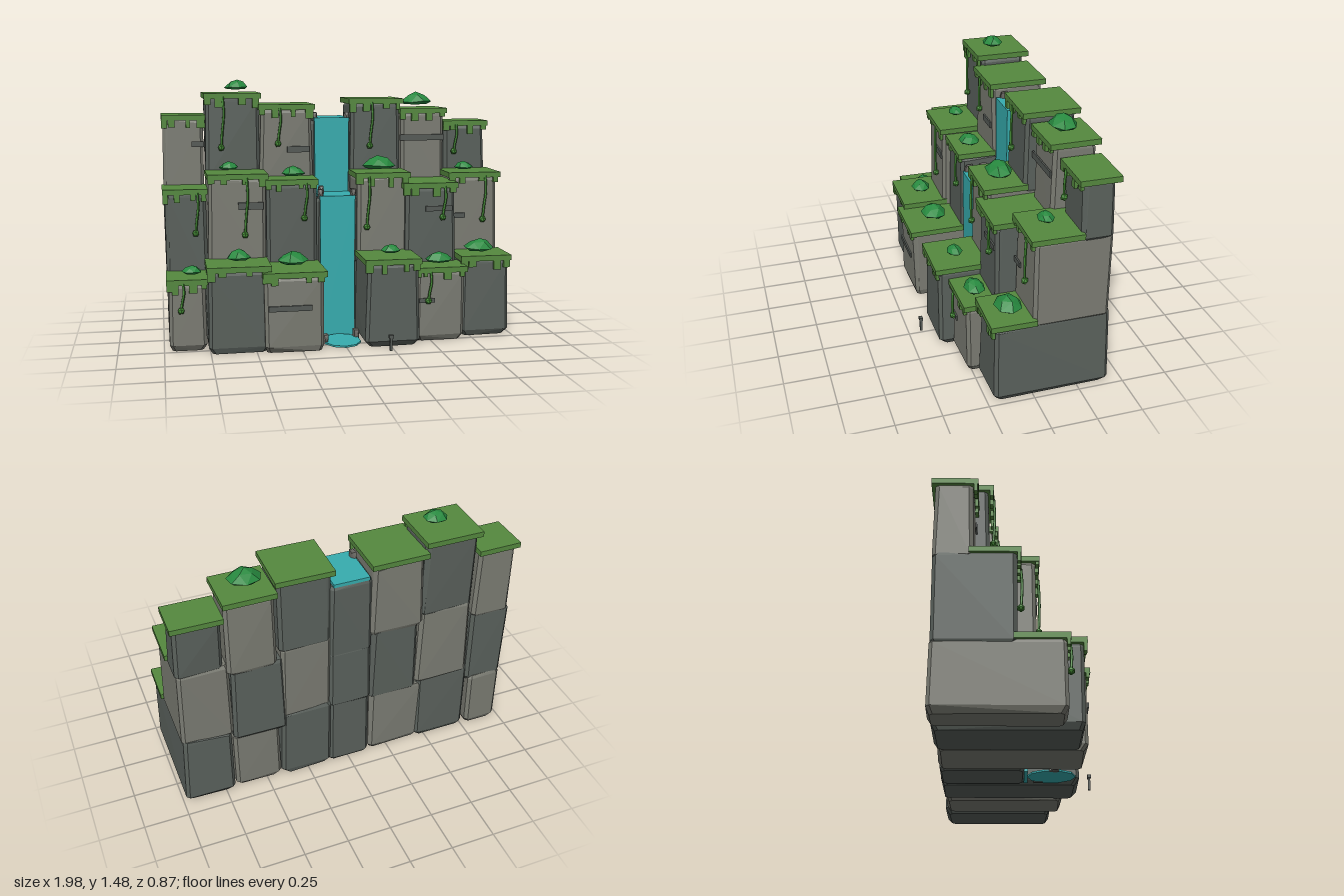
import * as THREE from 'three';
import { ConvexGeometry } from 'three/addons/geometries/ConvexGeometry.js';

const mat = (name, color, extra = {}) => {
  const m = new THREE.MeshStandardMaterial({ color, flatShading: true, ...extra });
  m.name = name;
  return m;
};

export function createModel() {
  const model = new THREE.Group();
  model.name = 'cliff';
  const darkRock = mat('dark rock', 0x5a615c);
  const lightRock = mat('light rock', 0x7b7c73);
  const crackGrey = mat('crack grey', 0x555a56);
  const grass = mat('grass', 0x55893f);
  const vineGreen = mat('vine green', 0x438a34);
  const bushGreen = mat('bush green', 0x27893f);
  const water = mat('water', 0x37adaf);
  const pebble = mat('pebble', 0x66645f);

  // small seeded noise
  let seed = 7;
  const rnd = () => ((seed = (seed * 16807) % 2147483647) / 2147483647);
  const jit = (a) => (rnd() - 0.5) * 2 * a;

  const add = (name, geo, material, x = 0, y = 0, z = 0, parent = model) => {
    const m = new THREE.Mesh(geo, material);
    m.name = name;
    m.position.set(x, y, z);
    parent.add(m);
    return m;
  };
  const box = (name, material, x, y, z, w, h, d, parent = model) =>
    add(name, new THREE.BoxGeometry(w, h, d), material, x, y, z, parent);

  // chipped boulder: rings of chamfered rectangles wrapped in a hull
  function rock(name, material, x0, x1, y0, y1, z0, z1, low = 0.04, wob = 0.006, parent = model) {
    const pts = [];
    const rings = [[y0, low * 0.6], [y0 + low, 0], [y1 - 0.02, 0.004], [y1, 0.01]];
    const cx = (x0 + x1) / 2, cz = (z0 + z1) / 2, c = 0.018;
    for (const [y, inset] of rings) {
      const hx = (x1 - x0) / 2 - inset, hz = (z1 - z0) / 2 - inset;
      for (const sx of [-1, 1]) for (const sz of [-1, 1]) {
        const jx = jit(wob), jz = jit(wob);
        pts.push(new THREE.Vector3(cx + sx * (hx - c) + jx, y, cz + sz * hz + jz));
        pts.push(new THREE.Vector3(cx + sx * hx + jx, y, cz + sz * (hz - c) + jz));
      }
    }
    return add(name, new ConvexGeometry(pts), material, 0, 0, 0, parent);
  }

  // columns per tier: left x, right x, top of the grass, front z
  const tiers = [
    [[-0.98, -0.76, 0.405, 0.265], [-0.765, -0.42, 0.485, 0.36], [-0.47, -0.12, 0.45, 0.39],
      [0.10, 0.415, 0.5, 0.375], [0.405, 0.7, 0.43, 0.3], [0.69, 0.985, 0.475, 0.235]],
    [[-0.99, -0.74, 0.87, 0.03], [-0.745, -0.41, 0.96, 0.125], [-0.42, -0.12, 0.92, 0.09],
      [0.10, 0.415, 0.95, 0.1], [0.37, 0.69, 0.89, 0.135], [0.67, 0.98, 0.935, 0.03]],
    [[-0.985, -0.74, 1.275, -0.19], [-0.745, -0.42, 1.4, -0.115], [-0.435, -0.11, 1.335, -0.095],
      [0.10, 0.42, 1.365, -0.11], [0.415, 0.7, 1.305, -0.155], [0.7, 0.975, 1.225, -0.21]],
  ];
  tiers.forEach((cols, t) => cols.forEach(([x0, x1, top, front], i) => {
    const column = new THREE.Group();
    column.name = `column${t}${i}`;
    model.add(column);
    const bottom = t ? tiers[t - 1][i][2] - 0.07 : 0;
    rock('boulder', (t + i) % 2 ? darkRock : lightRock, x0 + 0.008, x1 - 0.008, bottom, top - 0.03,
      -0.41 + jit(0.008), front - 0.02, 0.035, 0.007, column);
    // grass slab with a hanging fringe
    const back = t < 2 ? tiers[t + 1][i][3] - 0.04 : -0.43;
    const w = x1 - x0 + 0.004;
    const slab = box('grassSlab', grass, (x0 + x1) / 2, top - 0.0155, (front + back) / 2, w, 0.031, front - back, column);
    slab.rotation.y = jit(0.015);
    for (const f of [0.06, 0.18 + rnd() * 0.15, 0.6 + rnd() * 0.12, 0.9]) {
      const h = 0.02 + rnd() * 0.035;
      box('grassFringe', grass, x0 + w * f, top - 0.03 - h / 2, front - 0.012, 0.022 + rnd() * 0.025, h, 0.018, column);
    }
  }));

  // rock core behind the waterfall
  rock('lowerCore', darkRock, -0.13, 0.12, 0, 0.46, -0.405, 0.055, 0.02, 0.003);
  rock('middleCore', darkRock, -0.13, 0.12, 0.42, 0.805, -0.41, 0.055, 0.02, 0.003);
  rock('upperCore', darkRock, -0.13, 0.12, 0.77, 1.238, -0.405, -0.15, 0.02, 0.003);

  // waterfall in two steps, and its pool
  box('upperStream', water, -0.005, 1.245, -0.265, 0.205, 0.02, 0.27);
  box('upperFall', water, -0.005, 1.03, -0.14, 0.2, 0.44, 0.02);
  box('lowerStream', water, -0.005, 0.81, -0.035, 0.205, 0.02, 0.21);
  box('lowerFall', water, -0.005, 0.405, 0.06, 0.2, 0.81, 0.02);
  const pool = add('pool', new THREE.CylinderGeometry(1, 1, 0.01, 10), water, -0.005, 0.006, 0.2);
  pool.scale.set(0.108, 1, 0.132);

  // stones along the water
  [[-0.1, 1.26, -0.18], [0.09, 1.26, -0.18], [-0.1, 0.83, 0.03], [0.09, 0.83, 0.03],
    [-0.1, 0.025, 0.21], [0.09, 0.025, 0.13], [-0.085, 0.84, -0.045]].forEach(([x, y, z]) => {
    rock('bankStone', pebble, x - 0.016, x + 0.016, y - 0.025, y + 0.025, z - 0.03, z + 0.03, 0.012, 0.004);
  });

  // little post standing in front
  box('post', crackGrey, 0.23, 0.04, 0.425, 0.014, 0.08, 0.013);
  box('postTop', crackGrey, 0.23, 0.08, 0.425, 0.026, 0.018, 0.02);

  // cracks on the rock fronts: tier, column, x, y, width, height
  [[2, 0, -0.78, 1.105, 0.07, 0.03], [2, 2, -0.205, 1.075, 0.13, 0.035], [2, 4, 0.55, 1.13, 0.27, 0.035],
    [1, 1, -0.505, 0.78, 0.14, 0.04], [1, 4, 0.58, 0.74, 0.16, 0.03], [1, 5, 0.73, 0.68, 0.08, 0.03],
    [0, 2, -0.32, 0.25, 0.24, 0.03], [0, 4, 0.47, 0.24, 0.09, 0.025]].forEach(([t, i, x, y, w, h]) => {
    box('crack', crackGrey, x, y, tiers[t][i][3] - 0.013, w, h, 0.009);
  });

  // vines with a bud at the tip: tier, column, x, tip y
  [[2, 1, -0.65, 1.09], [2, 2, -0.325, 1.11], [2, 3, 0.22, 1.09], [2, 5, 0.765, 1.04],
    [1, 0, -0.81, 0.62], [1, 1, -0.54, 0.62], [1, 2, -0.2, 0.7], [1, 3, 0.16, 0.64],
    [1, 4, 0.6, 0.69], [1, 5, 0.875, 0.655], [0, 0, -0.905, 0.235], [0, 4, 0.475, 0.24]].forEach(([t, i, x, tip]) => {
    const top = tiers[t][i][2] - 0.02, z = tiers[t][i][3] - 0.002;
    const path = new THREE.CatmullRomCurve3([0, 0.35, 0.7, 1].map((f, k) =>
      new THREE.Vector3(x + [0.012, 0.016, 0.006, 0][k], top + (tip - top) * f, z + [0, 0.006, 0.004, 0][k])));
    add('vine', new THREE.TubeGeometry(path, 8, 0.008, 5), vineGreen);
    add('vineBud', new THREE.IcosahedronGeometry(0.021, 0), vineGreen, x, tip, z);
  });

  // faceted domed bushes: x, base y, z, half width, height, half depth
  [[-0.55, 1.42, -0.245, 0.07, 0.055, 0.06], [0.54, 1.325, -0.28, 0.095, 0.075, 0.075],
    [-0.615, 0.975, -0.03, 0.057, 0.045, 0.045], [-0.25, 0.935, -0.01, 0.07, 0.055, 0.062],
    [0.255, 0.965, -0.03, 0.1, 0.075, 0.075], [0.795, 0.945, -0.105, 0.058, 0.045, 0.045],
    [-0.84, 0.415, 0.135, 0.057, 0.045, 0.047], [-0.585, 0.5, 0.215, 0.068, 0.06, 0.058],
    [-0.285, 0.467, 0.21, 0.09, 0.07, 0.075], [0.27, 0.515, 0.23, 0.058, 0.045, 0.045],
    [0.56, 0.445, 0.2, 0.08, 0.06, 0.058], [0.83, 0.485, 0.1, 0.09, 0.07, 0.075]].forEach(([x, y, z, rx, h, rz]) => {
    const pts = [new THREE.Vector3(jit(0.1), 1, jit(0.1))];
    const spin = rnd() * 6;
    for (const [n, r, py] of [[5, 0.75, 0], [7, 1, 0.22], [5, 0.58, 0.75]]) {
      for (let k = 0; k < n; k++) {
        const a = spin + ((k + py) / n) * Math.PI * 2;
        pts.push(new THREE.Vector3(Math.cos(a) * r, py + (py ? jit(0.07) : 0), Math.sin(a) * r));
      }
    }
    add('bush', new ConvexGeometry(pts), bushGreen, x, y, z).scale.set(rx, h, rz);
  });

  return model;
}
